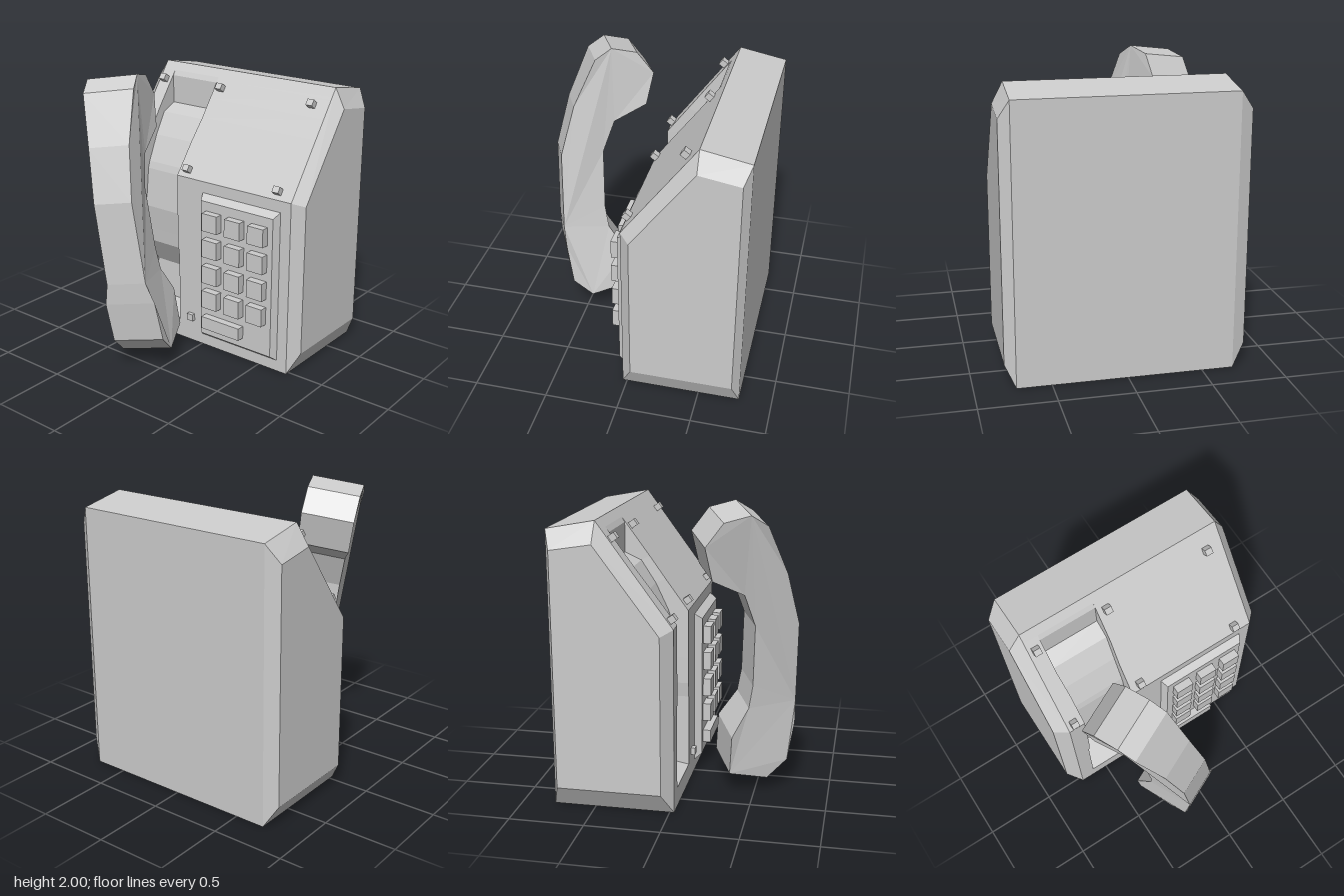
import * as THREE from 'three';

const material = new THREE.MeshStandardMaterial({ color: 0xcccccc, flatShading: true });

function addMesh(parent, name, geometry, x = 0, y = 0, z = 0) {
  const mesh = new THREE.Mesh(geometry, material);
  mesh.name = name;
  mesh.position.set(x, y, z);
  parent.add(mesh);
  return mesh;
}

// Collects flat faces; corners run counter-clockwise seen from outside
class Faces {
  constructor() { this.positions = []; }
  tri(a, b, c) { this.positions.push(...a, ...b, ...c); }
  quad(a, b, c, d) { this.tri(a, b, c); this.tri(a, c, d); }
  // Joins two rings that run counter-clockwise seen from +x
  loft(left, right, skip = []) {
    left.forEach((p, i) => {
      const j = (i + 1) % left.length;
      if (!skip.includes(i)) this.quad(p, left[j], right[j], right[i]);
    });
  }
  cap(ring, flip) {
    const outline = ring.map(p => new THREE.Vector2(-p[2], p[1]));
    for (const [a, b, c] of THREE.ShapeUtils.triangulateShape(outline, [])) {
      if (flip) this.tri(ring[a], ring[c], ring[b]);
      else this.tri(ring[a], ring[b], ring[c]);
    }
  }
  build() {
    const g = new THREE.BufferGeometry();
    g.setAttribute('position', new THREE.Float32BufferAttribute(this.positions, 3));
    g.computeVertexNormals();
    return g;
  }
}

// Front surface: upright up to the bend, then leaning back
const BEND = 1.24, LEAN = 0.49 / 0.67;
const frontZ = y => 0.03 - Math.max(0, y - BEND) * LEAN;

function bodyGeometry() {
  const f = new Faces();
  const core = [[0.03, 0], [-0.78, 0], [-0.78, 1.85], [-0.46, 1.91], [0.03, BEND]];
  const side = [[-0.04, 0.15], [-0.735, 0.15], [-0.735, 1.73], [-0.46, 1.775], [-0.04, 1.21]];
  const ring = (profile, x) => profile.map(([z, y]) => [x, y, z]);
  const x0 = -0.71, x1 = 0.73;
  const rings = [ring(side, -0.8), ring(core, x0), ring(core, x1), ring(side, 0.8)];
  f.cap(rings[0], true);
  f.loft(rings[0], rings[1]);
  f.loft(rings[1], rings[2], [3, 4]); // front is built around the cradle
  f.loft(rings[2], rings[3]);
  f.cap(rings[3], false);

  // Cradle rows: rim y, floor y, floor z, half width
  const rows = [
    [0.13, 0.13, 0.03, 0.2], [0.17, 0.17, -0.19, 0.2], [0.44, 0.44, -0.2, 0.2],
    [0.63, 0.63, -0.09, 0.2], [0.73, 0.73, -0.08, 0.187], [0.91, 0.91, -0.06, 0.187],
    [1.19, 1.19, -0.09, 0.187], [1.24, 1.24, -0.105, 0.187], [1.45, 1.42, -0.19, 0.19],
    [1.6, 1.57, -0.29, 0.2], [1.72, 1.62, -0.4, 0.2], [1.835, 1.82, -0.4, 0.2],
    [1.855, 1.855, frontZ(1.855), 0.2],
  ].map(([y, fy, fz, w]) => {
    const l = -0.408 - w, r = -0.408 + w, z = frontZ(y);
    return {
      edgeL: [x0, y, z], rimL: [l, y, z], floorL: [l, fy, fz],
      floorR: [r, fy, fz], rimR: [r, y, z], edgeR: [x1, y, z],
    };
  });
  const strips = [['edgeL', 'rimL'], ['rimL', 'floorL'], ['floorL', 'floorR'],
    ['floorR', 'rimR'], ['rimR', 'edgeR']];
  for (let i = 0; i + 1 < rows.length; i++) {
    const a = rows[i], b = rows[i + 1];
    for (const [l, r] of strips) f.quad(a[l], a[r], b[r], b[l]);
  }
  // Full-width bands below and above the cradle
  const first = rows[0], last = rows[rows.length - 1];
  f.quad([x0, 0, 0.03], [x1, 0, 0.03], first.edgeR, first.edgeL);
  f.quad(last.edgeL, last.edgeR, [x1, 1.91, -0.46], [x0, 1.91, -0.46]);
  return f.build();
}

function handsetGeometry() {
  // Side outline of the tilted handset: z, y, half width
  const outline = [
    [0.08, 1.81, 0.175], [0.19, 1.96, 0.175], [0.35, 2.0, 0.175], [0.45, 1.93, 0.175],
    [0.59, 1.6, 0.14], [0.67, 1.25, 0.13], [0.65, 0.7, 0.135], [0.62, 0.56, 0.172],
    [0.57, 0.28, 0.175], [0.44, 0.15, 0.175], [0.2, 0.21, 0.175], [0.22, 0.48, 0.172],
    [0.35, 0.67, 0.14], [0.38, 0.83, 0.135], [0.4, 1.25, 0.13], [0.33, 1.47, 0.14],
    [0.12, 1.59, 0.172],
  ];
  // Width axis, and offset of the handset's middle plane along it
  const [wx, wy, wz] = [0.9, 0.145, -0.41], middle = -0.285;
  const right = outline.map(([z, y, w]) => [(middle + w - wy * y - wz * z) / wx, y, z]);
  const left = right.map(([x, y, z], i) => {
    const w = 2 * outline[i][2];
    return [x - w * wx, y - w * wy, z - w * wz];
  });
  const f = new Faces();
  f.cap(left, true);
  f.loft(left, right);
  f.cap(right, false);
  return f.build();
}

function keypad() {
  const group = new THREE.Group();
  group.name = 'keypad';
  // Plate with bevelled rim
  const plate = new THREE.BoxGeometry(0.645, 1.08, 0.05);
  const p = plate.attributes.position;
  for (let i = 0; i < p.count; i++) {
    if (p.getZ(i) > 0) p.setXY(i, p.getX(i) * 0.925, p.getY(i) * 0.93);
  }
  plate.computeVertexNormals();
  addMesh(group, 'keypadPlate', plate, 0.328, 0.62, 0.055);
  // Keys in four rows of three, and a wide key below
  for (const y of [0.992, 0.8, 0.605, 0.417]) {
    for (const x of [0.14, 0.332, 0.522]) {
      addMesh(group, 'key', new THREE.BoxGeometry(0.128, 0.128, 0.06), x, y, 0.105);
    }
  }
  addMesh(group, 'wideKey', new THREE.BoxGeometry(0.322, 0.09, 0.06), 0.237, 0.235, 0.105);
  return group;
}

export function createModel() {
  const model = new THREE.Group();
  model.name = 'telephone';
  addMesh(model, 'body', bodyGeometry());
  addMesh(model, 'handset', handsetGeometry());
  model.add(keypad());

  // Small studs on the sloping panel
  const tilt = Math.atan(LEAN);
  for (const x of [-0.66, -0.145, 0.61]) {
    for (const y of [1.285, 1.79]) {
      const stud = addMesh(model, 'panelStud', new THREE.BoxGeometry(0.05, 0.045, 0.06),
        x, y + 0.01, frontZ(y) + 0.012);
      stud.rotation.x = -tilt;
    }
  }
  // Stud on the upright front beside the keypad
  addMesh(model, 'frontStud', new THREE.BoxGeometry(0.05, 0.05, 0.04), -0.095, 0.19, 0.038);
  return model;
}
